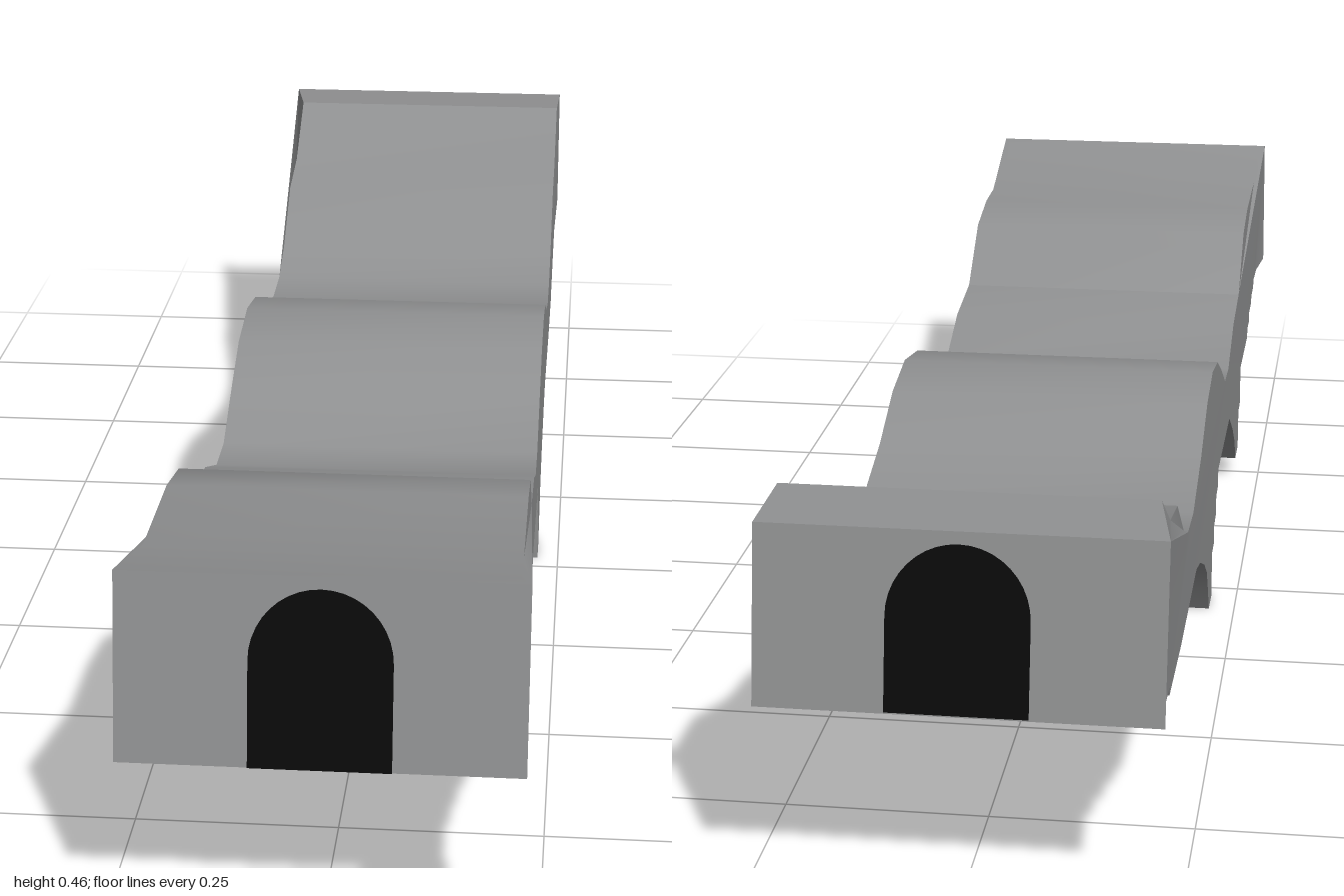
import * as THREE from 'three';
import { toCreasedNormals } from 'three/addons/utils/BufferGeometryUtils.js';

const stone = new THREE.MeshStandardMaterial({ color: 0x8f9091 });
stone.name = 'grey stone';
const dark = new THREE.MeshStandardMaterial({ color: 0x0a0a0a });
dark.name = 'doorway black';

// Side profile as [z, y]: wavy roof from front to back
const roof = [
  [0.957, 0.443], [0.93, 0.437], [0.823, 0.41], [0.65, 0.408], [0.56, 0.39], [0.464, 0.315],
  [0.35, 0.3], [0.25, 0.26], [0.18, 0.262], [0.09, 0.309], [0.008, 0.347], [-0.088, 0.363],
  [-0.18, 0.347], [-0.276, 0.304], [-0.394, 0.27], [-0.475, 0.275], [-0.544, 0.304],
  [-0.64, 0.373], [-0.737, 0.392], [-0.85, 0.459], [-0.957, 0.453],
];

// Underside from back to front: stepped ends and two curved, stepped feet
const underside = [
  [-0.995, 0.25], [-0.893, 0.224], [-0.866, 0.208], [-0.823, 0.208], [-0.815, 0.19],
  [-0.77, 0.188], [-0.76, 0.173], [-0.72, 0.172], [-0.715, 0.16], [-0.555, 0.155],
  [-0.324, 0.163], [-0.26, 0.147], [-0.18, 0.112], [-0.13, 0.08], [-0.1, 0.04],
  [-0.078, 0.003], [-0.03, 0.003], [-0.03, 0.07], [0.003, 0.072], [0.003, 0.1],
  [0.035, 0.105], [0.035, 0.133], [0.067, 0.137], [0.067, 0.163], [0.298, 0.163],
  [0.383, 0.117], [0.442, 0.075], [0.469, 0.037], [0.528, 0.037], [0.528, 0.098],
  [0.56, 0.1], [0.56, 0.163], [0.727, 0.163], [0.732, 0.178], [0.769, 0.178],
  [0.775, 0.194], [0.823, 0.196], [0.828, 0.208], [0.877, 0.209], [0.882, 0.221],
  [0.957, 0.218], [1, 0.228],
];

function bridgeBody() {
  const shape = new THREE.Shape([...roof, ...underside].map(([z, y]) => new THREE.Vector2(z, y)));
  const geo = new THREE.ExtrudeGeometry(shape, { depth: 0.434, bevelEnabled: false });
  geo.rotateY(-Math.PI / 2).translate(0.22, 0, 0);
  // Flare both ends slightly
  const p = geo.attributes.position;
  for (let i = 0; i < p.count; i++) {
    const x = p.getX(i), y = p.getY(i), z = p.getZ(i);
    if (z > 0.94 && y > 0.22) p.setX(i, x > 0 ? 0.233 : -0.224);
    if (z < -0.94) p.setX(i, x > 0 ? 0.223 : -0.234);
  }
  geo.deleteAttribute('normal');
  const mesh = new THREE.Mesh(toCreasedNormals(geo, 0.5), stone);
  mesh.name = 'bridgeBody';
  return mesh;
}

// Thin arched plate lying on a sloping end wall
function doorway(name, height) {
  const w = 0.08, spring = height - 0.082;
  const s = new THREE.Shape();
  s.moveTo(-w, 0);
  s.lineTo(w, 0);
  s.lineTo(w, spring);
  s.absellipse(0, spring, w, 0.082, 0, Math.PI, false, 0);
  s.closePath();
  const geo = new THREE.ExtrudeGeometry(s, { depth: 0.005, bevelEnabled: false, curveSegments: 10 });
  const mesh = new THREE.Mesh(geo, dark);
  mesh.name = name;
  return mesh;
}

export function createModel() {
  const model = new THREE.Group();
  model.name = 'steppedBridge';
  model.add(bridgeBody());

  const front = doorway('frontDoorway', 0.205);
  front.position.set(0.005, 0.228, 0.998);
  front.rotation.x = -Math.atan2(0.043, 0.215);
  model.add(front);

  const back = doorway('backDoorway', 0.19);
  back.rotation.x = -Math.atan2(0.038, 0.203);
  back.position.set(0, 0.252, 0.993);
  const backEnd = new THREE.Group();
  backEnd.name = 'backEnd';
  backEnd.rotation.y = Math.PI;
  backEnd.position.x = -0.005;
  backEnd.add(back);
  model.add(backEnd);

  return model;
}
